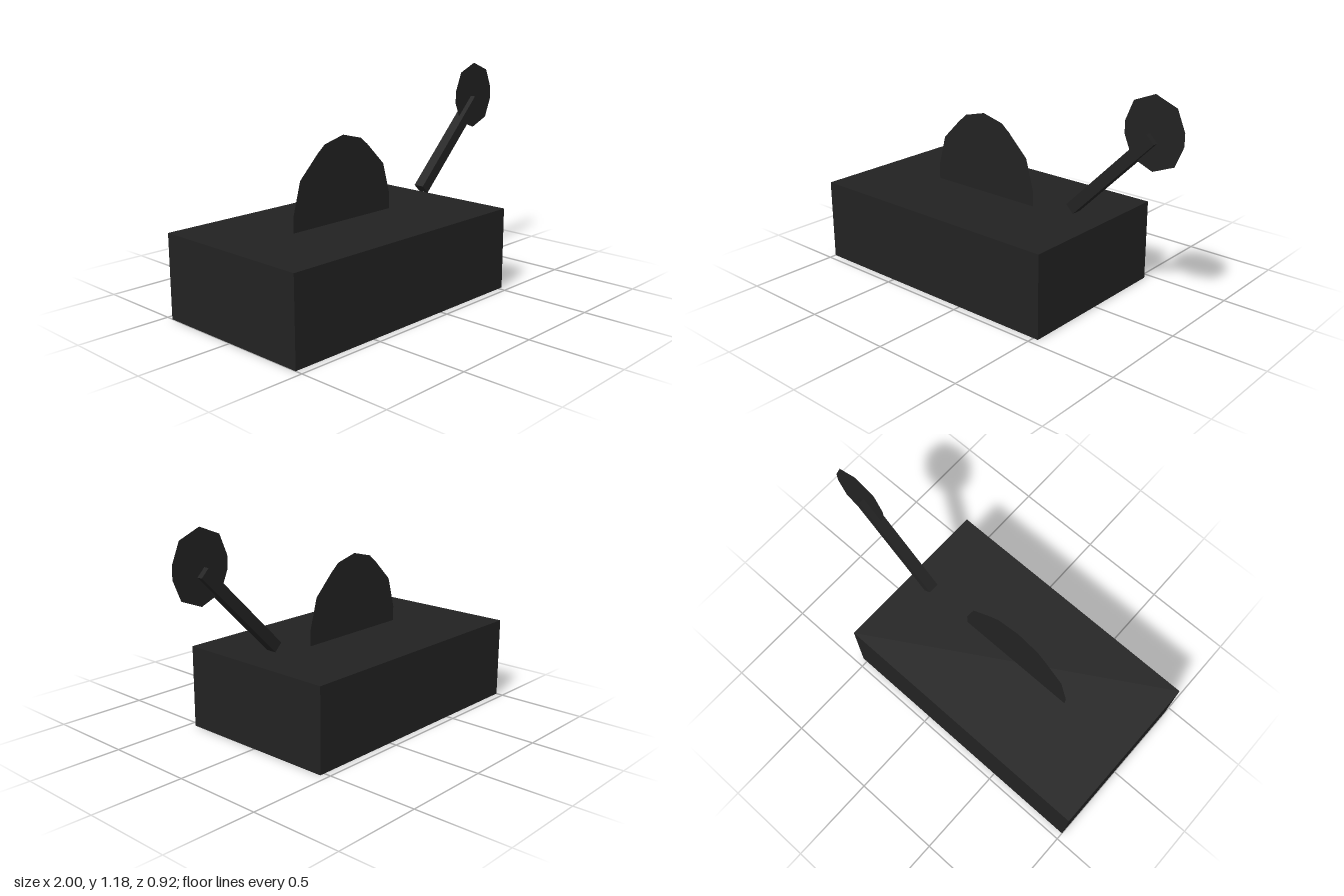
import * as THREE from 'three';

export function createModel() {
  const model = new THREE.Group();
  const charcoal = new THREE.MeshStandardMaterial({ color: 0x222222, side: THREE.DoubleSide });

  function add(name, geometry, x, y) {
    const mesh = new THREE.Mesh(geometry, charcoal);
    mesh.name = name;
    mesh.position.set(x, y, 0);
    model.add(mesh);
    return mesh;
  }

  // Flat plate mirrored about its own vertical axis; points run up the right half
  function plate(half) {
    const left = half.filter(([x]) => x > 0).map(([x, y]) => [-x, y]).reverse();
    return new THREE.ShapeGeometry(new THREE.Shape([...half, ...left].map(([x, y]) => new THREE.Vector2(x, y))));
  }

  // Box body
  add('body', new THREE.BoxGeometry(1.528, 0.45, 0.92), -0.236, 0.225);

  // Paper-thin dome standing on the body
  add('dome', plate([
    [0.347, -0.01], [0.347, 0.083], [0.299, 0.256], [0.172, 0.382],
    [0.167, 0.384], [0.131, 0.415], [0, 0.448],
  ]), -0.238, 0.45);

  // Slanted square handle
  const handle = add('handle', new THREE.BoxGeometry(0.65, 0.06, 0.06), 0.605, 0.742);
  handle.rotation.z = Math.PI / 4;

  // Paper-thin ten-sided disc at the handle's end
  add('disc', plate([
    [0, -0.188], [0.119, -0.14], [0.164, -0.033],
    [0.164, 0.033], [0.119, 0.14], [0, 0.188],
  ]), 0.836, 0.996);

  return model;
}
